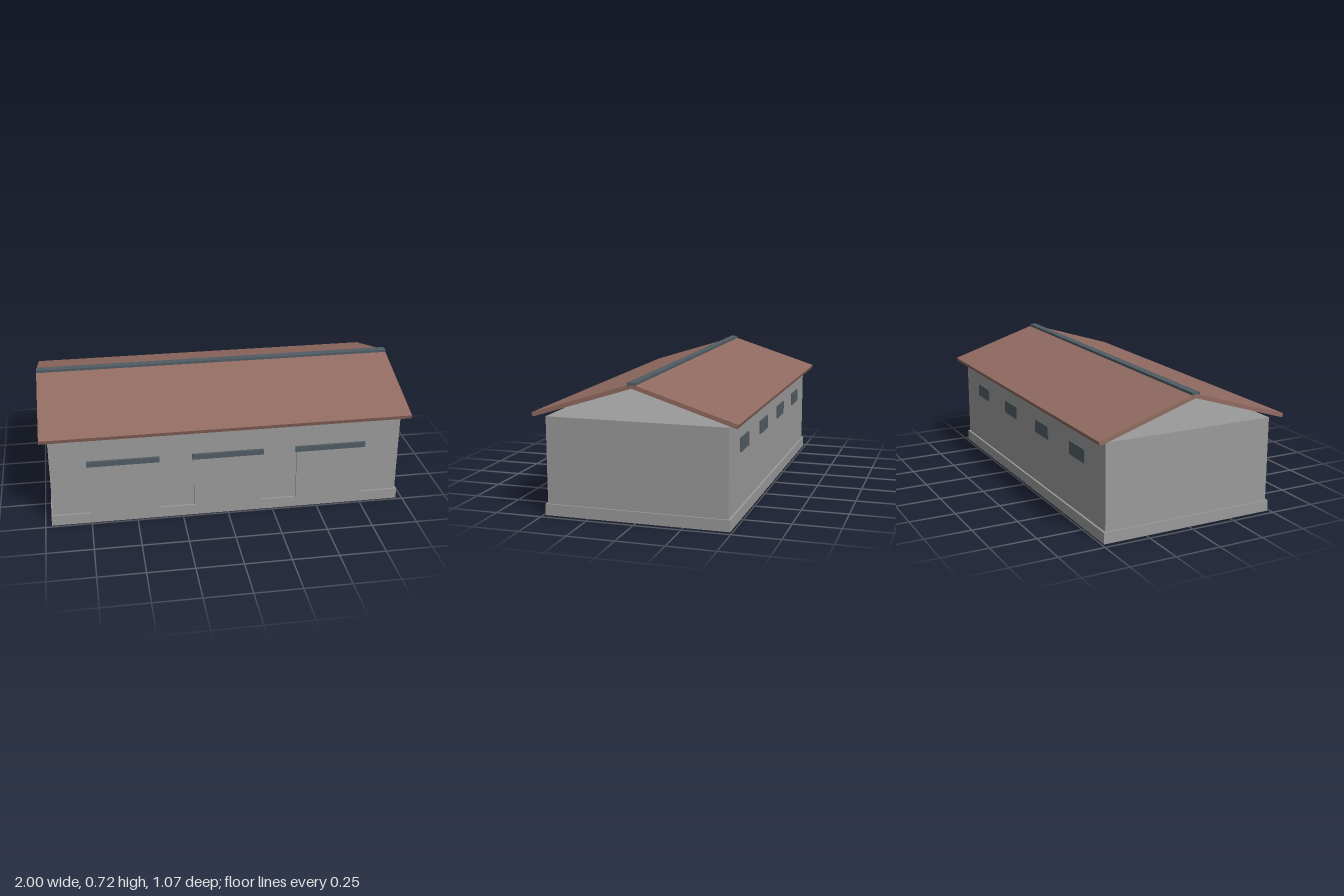
import * as THREE from 'three';

export function createModel() {
  const group = new THREE.Group();
  const material = (name, color) => {
    const m = new THREE.MeshStandardMaterial({ color });
    m.name = name;
    return m;
  };
  const concrete = material('concrete grey', 0x9a9a9a);
  const brown = material('roof brown', 0x916b61);
  const slate = material('slate trim', 0x505c63);

  // Box given by its centre x and its y and z ranges
  function addBox(name, mat, x, width, y0, y1, z0, z1) {
    const mesh = new THREE.Mesh(new THREE.BoxGeometry(width, y1 - y0, z1 - z0), mat);
    mesh.position.set(x, (y0 + y1) / 2, (z0 + z1) / 2);
    mesh.name = name;
    group.add(mesh);
  }

  // Plinth and walls
  addBox('plinth', concrete, 0, 1.932, 0, 0.06, -0.488, 0.488);
  addBox('walls', concrete, 0, 1.914, 0.06, 0.516, -0.477, 0.477);

  // Three doors with lintels on the front
  for (const x of [-0.568, 0, 0.568]) {
    addBox('door', concrete, x, 0.374, 0.06, 0.36, 0.47, 0.4875);
    addBox('doorLintel', slate, x, 0.39, 0.345, 0.374, 0.475, 0.492);
  }

  // Four small high windows on the back
  for (const i of [-1.5, -0.5, 0.5, 1.5]) {
    addBox('window', slate, i * 0.437, 0.172, 0.348, 0.42, -0.485, -0.476);
  }

  // Two sloping roof slabs, open at the gables
  for (const side of [-1, 1]) {
    const profile = new THREE.Shape([
      [0, 0.709], [0.534, 0.541], [0.527, 0.52], [0, 0.687],
    ].map(([z, y]) => new THREE.Vector2(z * side, y)));
    const geometry = new THREE.ExtrudeGeometry(profile, { depth: 2, bevelEnabled: false });
    geometry.translate(0, 0, -1).rotateY(Math.PI / 2);
    const slab = new THREE.Mesh(geometry, brown);
    slab.name = 'roofSlab';
    group.add(slab);
  }

  // Ridge cap
  addBox('ridgeCap', slate, 0, 2, 0.698, 0.716, -0.021, 0.021);

  return group;
}
